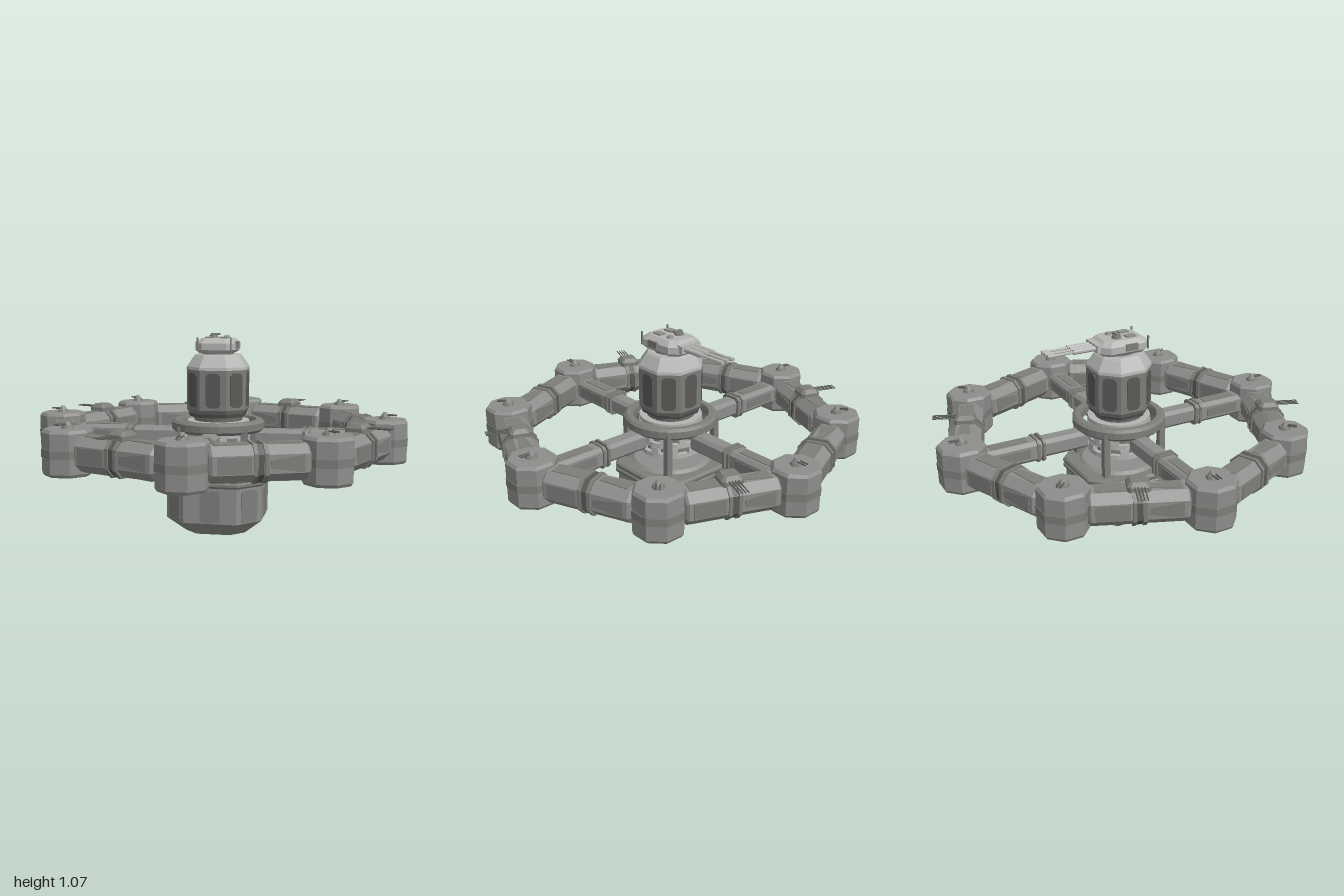
import * as THREE from 'three';

const mat = (name, color) => {
  const m = new THREE.MeshStandardMaterial({ color, flatShading: true });
  m.name = name;
  return m;
};

// Octagonal loft: each section is [y, halfX, halfZ, chamfer]
function loft(sections) {
  const ring = ([y, hx, hz, c]) => [
    [hx, c - hz], [hx, hz - c], [hx - c, hz], [c - hx, hz],
    [-hx, hz - c], [-hx, c - hz], [c - hx, -hz], [hx - c, -hz],
  ].map(([x, z]) => [x, y, z]);
  const rings = sections.map(ring), pos = [];
  const tri = (...p) => p.forEach((v) => pos.push(...v));
  for (let s = 0; s + 1 < rings.length; s++) {
    for (let i = 0; i < 8; i++) {
      const j = (i + 1) % 8, lo = rings[s], hi = rings[s + 1];
      tri(lo[i], hi[i], hi[j]);
      tri(lo[i], hi[j], lo[j]);
    }
  }
  const bottom = rings[0], top = rings[rings.length - 1];
  for (let i = 1; i < 7; i++) {
    tri(bottom[0], bottom[i], bottom[i + 1]);
    tri(top[0], top[i + 1], top[i]);
  }
  const g = new THREE.BufferGeometry();
  g.setAttribute('position', new THREE.Float32BufferAttribute(pos, 3));
  g.computeVertexNormals();
  return g;
}

// Thin four-cornered plate in the xy plane, facing +z
function plate(points, depth = 0.006) {
  const shape = new THREE.Shape(points.map(([x, y]) => new THREE.Vector2(x, y)));
  return new THREE.ExtrudeGeometry(shape, { depth, bevelEnabled: false });
}

// Upright plate with cut corners
function cutPlate(hw, hh, c) {
  return plate([[hw, c - hh], [hw, hh - c], [hw - c, hh], [c - hw, hh],
    [-hw, hh - c], [-hw, c - hh], [c - hw, -hh], [hw - c, -hh]]);
}

export function createModel() {
  const hull = mat('hull grey', 0x8d8d8b);
  const panel = mat('panel grey', 0x7d7d7a);
  const dark = mat('dark grey', 0x595957);
  const light = mat('light grey', 0xb4b4b2);
  const model = new THREE.Group();
  model.name = 'ringStation';

  const add = (parent, name, geo, material, x = 0, y = 0, z = 0) => {
    const m = new THREE.Mesh(geo, material);
    m.name = name;
    m.position.set(x, y, z);
    parent.add(m);
    return m;
  };
  const box = (w, h, d) => new THREE.BoxGeometry(w, h, d);
  const cyl = (a, b, h, n = 16) => new THREE.CylinderGeometry(a, b, h, n);
  const rod = (r, l, n = 8) => cyl(r, r, l, n).rotateX(Math.PI / 2);
  // Group turned so its local +z points outward at the given angle
  const spoke = (name, angle, r) => {
    const g = new THREE.Group();
    g.name = name;
    g.rotation.y = angle;
    g.position.set(Math.sin(angle) * r, 0, Math.cos(angle) * r);
    model.add(g);
    return g;
  };

  // Ring nodes with small twin guns
  const nodeGeo = loft([[0.41, 0.106, 0.106, 0.062], [0.425, 0.115, 0.115, 0.067],
    [0.62, 0.115, 0.115, 0.067], [0.635, 0.104, 0.104, 0.061]]);
  const nodeBand = loft([[0.5, 0.118, 0.118, 0.069], [0.54, 0.118, 0.118, 0.069]]);
  for (let i = 0; i < 8; i++) {
    const a = i * Math.PI / 4;
    const g = new THREE.Group();
    g.name = 'ringNode';
    g.position.set(Math.sin(a) * 0.882, 0, Math.cos(a) * 0.882);
    model.add(g);
    const body = add(g, 'nodeBody', nodeGeo, hull);
    const band = add(g, 'nodeBand', nodeBand, panel);
    body.rotation.y = band.rotation.y = Math.round(i / 2) * Math.PI / 2;
    const gun = new THREE.Group();
    gun.name = 'nodeGun';
    gun.rotation.y = a;
    g.add(gun);
    add(gun, 'gunBase', cyl(0.026, 0.032, 0.014, 10), panel, 0, 0.642);
    add(gun, 'gunDome', cyl(0.01, 0.02, 0.02, 10), hull, 0, 0.659);
    for (const s of [-1, 1]) add(gun, 'gunBarrel', rod(0.004, 0.06, 6), dark, s * 0.009, 0.655, 0.03);
  }

  // Ring segments between nodes
  const segGeo = loft([[-0.232, 0.072, 0.072, 0.034], [-0.22, 0.083, 0.083, 0.04],
    [0.22, 0.083, 0.083, 0.04], [0.232, 0.072, 0.072, 0.034]]).rotateZ(Math.PI / 2);
  const rib = (h, w) => loft([[-w, h, h, 0.042], [w, h, h, 0.042]]).rotateZ(Math.PI / 2);
  const wedge = plate([[0.045, -0.018], [0.2, -0.04], [0.2, 0.04], [0.045, 0.018]]);
  const slab = plate([[-0.2, -0.038], [-0.045, -0.038], [-0.045, 0.038], [-0.2, 0.038]]);
  for (let i = 0; i < 8; i++) {
    const g = spoke('ringSegment', (i + 0.5) * Math.PI / 4, 0.815);
    add(g, 'segmentBody', segGeo, hull, 0, 0.525);
    for (const x of [-0.024, 0.024]) add(g, 'segmentRib', rib(0.091, 0.009), panel, x, 0.525);
    add(g, 'segmentCollar', rib(0.087, 0.013), dark, 0, 0.525);
    for (let f = 0; f < 4; f++) {
      for (const geo of [wedge, slab]) {
        const p = add(g, 'segmentPanel', geo.clone().translate(0, 0, 0.081).rotateX(f * Math.PI / 2), panel, 0, 0.525);
        p.name = geo === wedge ? 'wedgePanel' : 'slabPanel';
      }
    }
    if (i % 2) {
      // Flat gun housing with four thin barrels
      add(g, 'flakHousing', loft([[0.605, 0.055, 0.055, 0.015], [0.63, 0.055, 0.055, 0.015],
        [0.65, 0.038, 0.036, 0.01]]), panel);
      for (let b = 0; b < 4; b++) add(g, 'flakBarrel', rod(0.003, 0.13, 6), dark, (b - 1.5) * 0.015, 0.632, 0.105);
    }
  }

  // Four spokes from hub ring to nodes
  const beam = (l, w, h) => loft([[-l / 2, h, w, 0.018], [l / 2, h, w, 0.018]]).rotateX(Math.PI / 2).rotateZ(Math.PI / 2);
  for (let i = 0; i < 4; i++) {
    const g = spoke('spoke', i * Math.PI / 2, 0);
    add(g, 'innerBeam', beam(0.28, 0.048, 0.048), hull, 0, 0.52, 0.35);
    add(g, 'outerBeam', beam(0.31, 0.055, 0.055), hull, 0, 0.52, 0.635);
    for (const z of [0.465, 0.495]) add(g, 'beamCollar', beam(0.014, 0.062, 0.062), panel, 0, 0.52, z);
    add(g, 'beamPanel', box(0.05, 0.008, 0.2), panel, 0, 0.575, 0.64);
    for (const s of [-1, 1]) add(g, 'beamSidePanel', box(0.008, 0.05, 0.2), panel, s * 0.054, 0.52, 0.64);
  }

  // Hub ring, open in the middle
  const hub = new THREE.LatheGeometry([[0.2, 0.565], [0.235, 0.555], [0.25, 0.57], [0.25, 0.605],
    [0.235, 0.618], [0.205, 0.618], [0.2, 0.605], [0.2, 0.565]].map(([x, y]) => new THREE.Vector2(x, y)), 32);
  const hubMat = panel;
  add(model, 'hubRing', hub, hubMat);

  // Core column of stacked discs with small blocks
  add(model, 'coreNeck', cyl(0.06, 0.06, 0.3, 16), light, 0, 0.5);
  add(model, 'coreDrum', cyl(0.145, 0.145, 0.19, 24), panel, 0, 0.51);
  for (let k = 0; k < 4; k++) {
    const y = 0.425 + k * 0.058;
    add(model, 'coreDisc', cyl(0.168, 0.168, 0.026, 24), light, 0, y);
    if (k === 3) continue;
    for (let i = 0; i < 10; i++) {
      const g = spoke('coreBlock', (i + k * 0.5) * Math.PI / 5, 0.155);
      add(g, 'block', box(0.045, 0.034, 0.03), light, 0, y + 0.029);
    }
  }
  for (const x of [-1, 1]) {
    for (const z of [-1, 1]) add(model, 'coreStrut', box(0.034, 0.26, 0.034), panel, x * 0.166, 0.46, z * 0.166);
  }

  // Lower pod
  add(model, 'podBody', loft([[0.015, 0.16, 0.16, 0.07], [0.095, 0.255, 0.255, 0.115],
    [0.295, 0.255, 0.255, 0.115]]), hull);
  add(model, 'podKeel', box(0.16, 0.01, 0.16), panel, 0, 0.011);
  add(model, 'podGroove', loft([[0.29, 0.25, 0.25, 0.113], [0.34, 0.25, 0.25, 0.113]]), dark);
  for (const y of [0.285, 0.315]) {
    add(model, 'podRim', loft([[y, 0.262, 0.262, 0.118], [y + 0.01, 0.268, 0.268, 0.12],
      [y + 0.022, 0.268, 0.268, 0.12], [y + 0.032, 0.258, 0.258, 0.116]]), panel);
  }
  add(model, 'podDeck', cyl(0.2, 0.22, 0.018, 32), hull, 0, 0.353);

  // Tower
  add(model, 'towerFoot', cyl(0.14, 0.12, 0.06, 24), panel, 0, 0.615);
  add(model, 'towerBase', loft([[0.635, 0.14, 0.14, 0.075], [0.655, 0.148, 0.148, 0.08]]), dark);
  add(model, 'towerBody', loft([[0.65, 0.142, 0.142, 0.076], [0.675, 0.157, 0.157, 0.085],
    [0.885, 0.157, 0.157, 0.085]]), panel);
  add(model, 'towerCap', loft([[0.885, 0.159, 0.159, 0.086], [0.9, 0.157, 0.157, 0.085],
    [0.955, 0.122, 0.122, 0.066], [0.965, 0.112, 0.112, 0.06]]), light);

  // Plates around the tower and pod
  for (let i = 0; i < 8; i++) {
    const g = spoke('wallPlates', i * Math.PI / 4, 0);
    const diag = i % 2;
    add(g, 'podPlate', cutPlate(0.052, 0.085, 0.012), panel, 0, 0.185, diag ? 0.277 : 0.253);
    add(g, 'towerPlate', cutPlate(0.038, 0.09, 0.016), dark, 0, 0.78, diag ? 0.16 : 0.155);
  }

  // Main turret, barrels toward the back
  const turret = new THREE.Group();
  turret.name = 'mainTurret';
  model.add(turret);
  add(turret, 'turretRing', cyl(0.085, 0.085, 0.02, 24), panel, 0, 0.968);
  add(turret, 'turretBody', loft([[0.972, 0.085, 0.12, 0.035], [0.99, 0.104, 0.138, 0.04],
    [1.025, 0.104, 0.138, 0.04], [1.05, 0.078, 0.105, 0.03]]), light);
  add(turret, 'gunMantlet', box(0.13, 0.04, 0.05), light, 0, 1.016, -0.132);
  for (const x of [-0.036, 0, 0.036]) {
    add(turret, 'barrelSleeve', rod(0.014, 0.14, 10), light, x, 1.016, -0.21);
    add(turret, 'barrel', rod(0.008, 0.18, 8), light, x, 1.016, -0.33);
    add(turret, 'muzzle', rod(0.011, 0.035, 8), light, x, 1.016, -0.402);
  }
  for (const s of [-1, 1]) {
    add(turret, 'sideFitting', box(0.012, 0.035, 0.07), panel, s * 0.106, 1.015, 0.02);
    add(turret, 'roofHatch', box(0.04, 0.01, 0.055), hull, s * 0.038, 1.052, 0.045);
    add(turret, 'sideMast', box(0.008, 0.07, 0.008), panel, s * 0.088, 1.02, 0.125);
  }
  add(turret, 'sightBase', cyl(0.022, 0.026, 0.018, 10), panel, -0.03, 1.057, -0.03);
  add(turret, 'sightHead', box(0.05, 0.01, 0.02), panel, -0.02, 1.07, -0.03);
  add(turret, 'roofDome', cyl(0.014, 0.02, 0.014, 10), hull, 0.04, 1.055, -0.04);
  return model;
}
